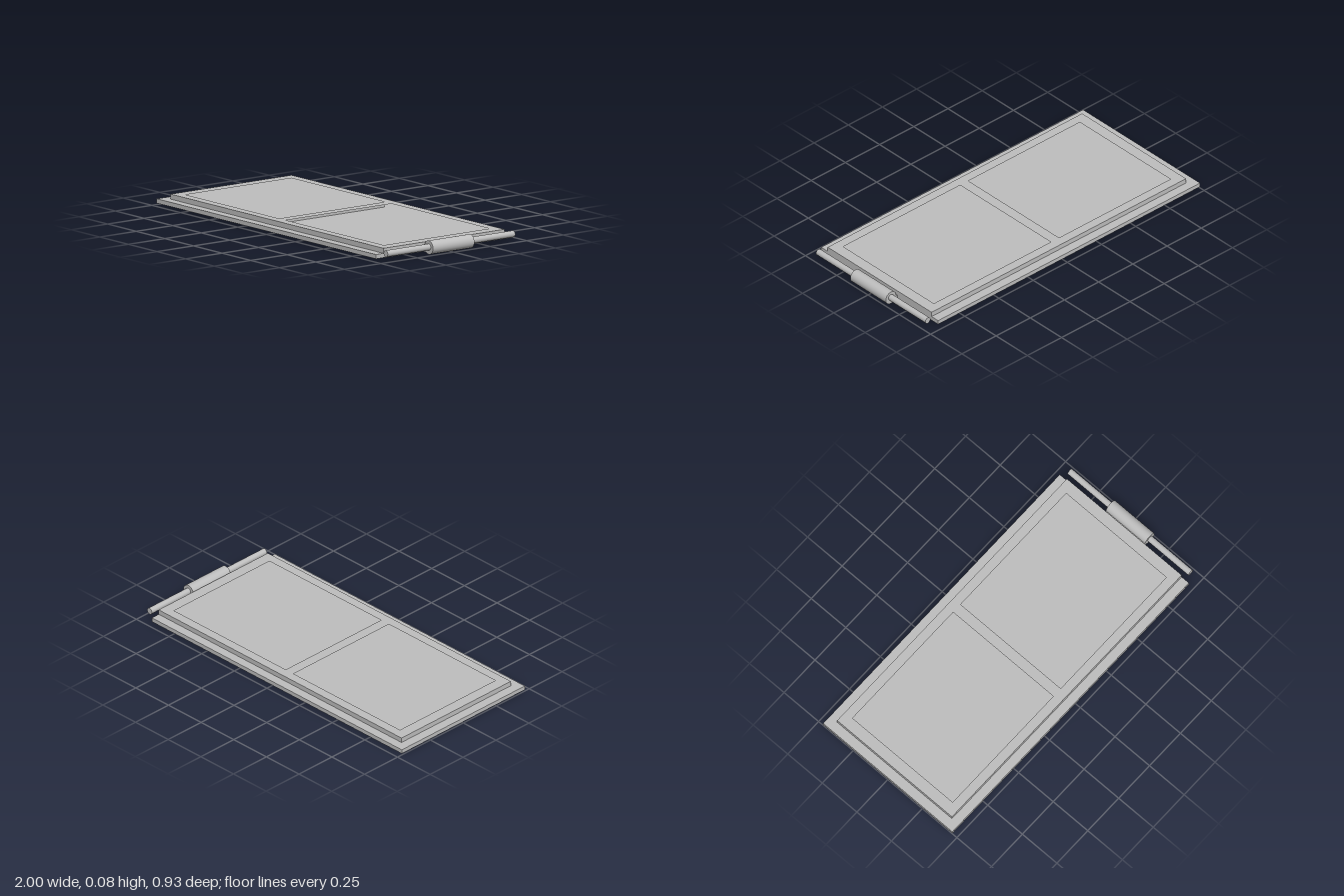
import * as THREE from 'three';

const steel = new THREE.MeshStandardMaterial({ color: 0xbebebe });
steel.name = 'grey metal';

function add(group, name, geometry, x, y, z) {
  const mesh = new THREE.Mesh(geometry, steel);
  mesh.name = name;
  mesh.position.set(x, y, z);
  group.add(mesh);
  return mesh;
}

// Clockwise rectangle as path points
function rectangle(x0, x1, z) {
  return [[x0, -z], [x0, z], [x1, z], [x1, -z]].map(([x, y]) => new THREE.Vector2(x, y));
}

// Raised border with two rectangular window openings
function frameGeometry(height) {
  const shape = new THREE.Shape(rectangle(-0.945, 0.915, 0.415));
  for (const [x0, x1] of [[-0.88, -0.065], [-0.005, 0.85]]) {
    shape.holes.push(new THREE.Path(rectangle(x0, x1, 0.362)));
  }
  return new THREE.ExtrudeGeometry(shape, { depth: height, bevelEnabled: false }).rotateX(-Math.PI / 2);
}

// Rod lying along z
function rod(radius, length) {
  return new THREE.CylinderGeometry(radius, radius, length, 48).rotateX(Math.PI / 2);
}

export function createModel() {
  const model = new THREE.Group();
  model.name = 'hingedPanel';

  add(model, 'basePlate', new THREE.BoxGeometry(1.915, 0.024, 0.934), -0.0425, 0.02, 0);
  add(model, 'raisedFrame', frameGeometry(0.028), 0, 0.032, 0);

  // Hinge on the +x edge
  const hinge = new THREE.Group();
  hinge.name = 'hinge';
  add(hinge, 'hingeTongue', new THREE.BoxGeometry(0.03, 0.024, 0.282), 0.93, 0.02, 0);
  add(hinge, 'hingeBarrel', rod(0.0375, 0.284), 0.9625, 0.0375, 0);
  add(hinge, 'hingePin', rod(0.018, 0.874), 0.9625, 0.04, 0);
  model.add(hinge);
  return model;
}
